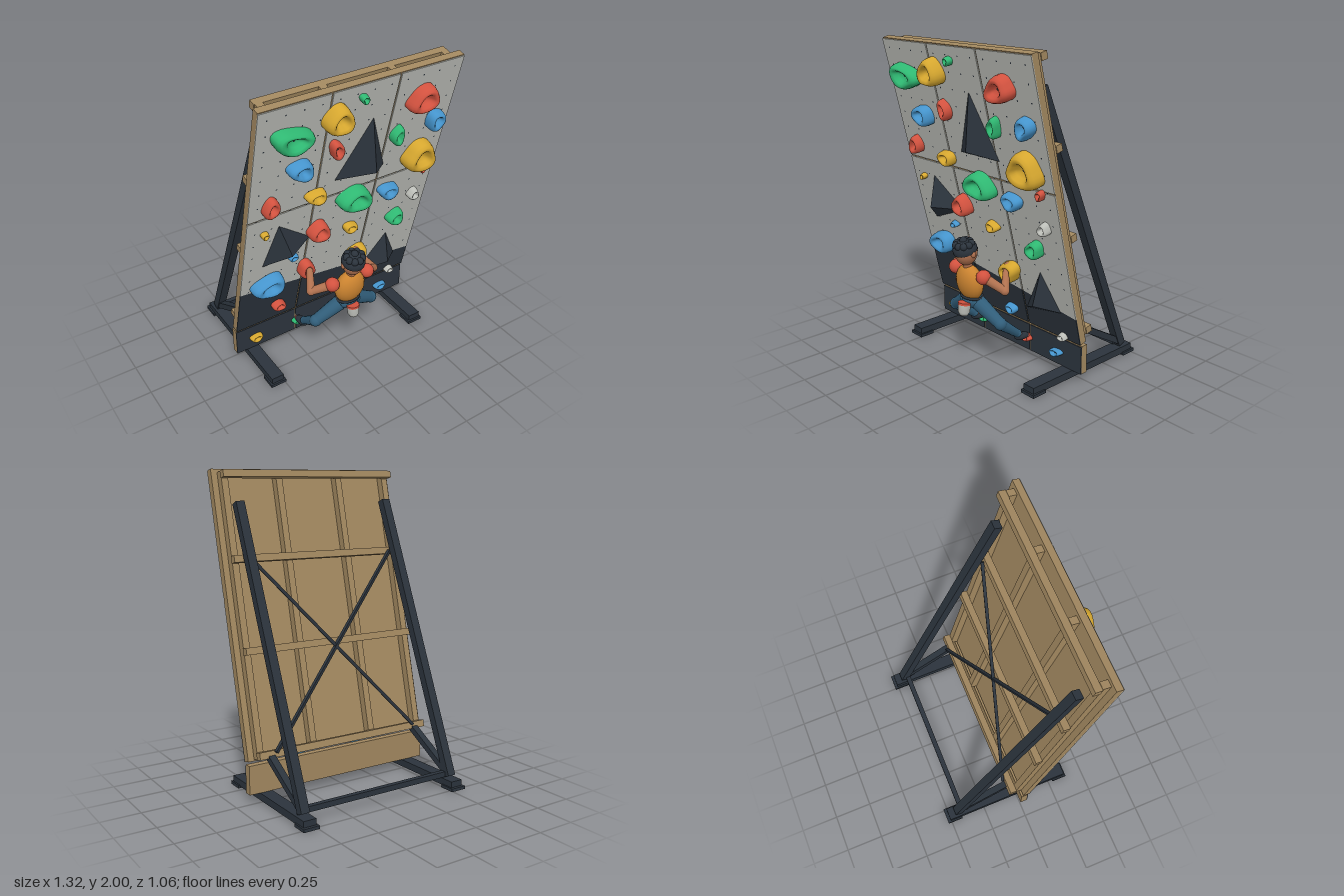
import * as THREE from 'three';
import { mergeGeometries, mergeVertices } from 'three/addons/utils/BufferGeometryUtils.js';

const mat = (name, color) => {
  const m = new THREE.MeshStandardMaterial({ color });
  m.name = name;
  return m;
};
const V = (x, y, z) => new THREE.Vector3(x, y, z);

export function createModel() {
  const M = {
    grey: mat('pale grey', 0xbcbeb8), dark: mat('charcoal', 0x2b333c), wood: mat('wood', 0xa1875f),
    green: mat('green', 0x2fb872), yellow: mat('yellow', 0xd6a72f), red: mat('red', 0xd2523f),
    blue: mat('blue', 0x4594cc), skin: mat('skin', 0xb0714f), shirt: mat('orange shirt', 0xcc8430),
    jeans: mat('denim', 0x315e7a),
  };
  const root = new THREE.Group();
  root.name = 'climbingWall';
  const group = (name, parent = root) => {
    const g = new THREE.Group();
    g.name = name;
    parent.add(g);
    return g;
  };
  const add = (parent, name, geo, m, x = 0, y = 0, z = 0) => {
    const mesh = new THREE.Mesh(geo, m);
    mesh.name = name;
    mesh.position.set(x, y, z);
    parent.add(mesh);
    return mesh;
  };
  // box given by its limits on each axis
  const box = (parent, name, m, x0, x1, y0, y1, z0, z1) =>
    add(parent, name, new THREE.BoxGeometry(x1 - x0, y1 - y0, z1 - z0), m, (x0 + x1) / 2, (y0 + y1) / 2, (z0 + z1) / 2);
  // square bar from a to b
  const bar = (parent, name, m, a, b, w, h = w) => {
    const mesh = add(parent, name, new THREE.BoxGeometry(w, h, a.distanceTo(b)), m, ...a.clone().lerp(b, 0.5).toArray());
    mesh.lookAt(b);
    return mesh;
  };
  const ball = (parent, name, m, x, y, z, rx, ry = rx, rz = rx) => {
    const mesh = add(parent, name, new THREE.SphereGeometry(1, 20, 14), m, x, y, z);
    mesh.scale.set(rx, ry, rz);
    return mesh;
  };
  // tapered limb with a round joint at its far end
  const limb = (parent, name, m, a, b, ra, rb) => {
    const mesh = add(parent, name, new THREE.CylinderGeometry(rb, ra, a.distanceTo(b), 14), m, ...a.clone().lerp(b, 0.5).toArray());
    mesh.quaternion.setFromUnitVectors(V(0, 1, 0), b.clone().sub(a).normalize());
    ball(parent, name + 'Joint', m, b.x, b.y, b.z, rb * 1.08);
  };

  // leaning panel: local y runs up the face, local z points out of it
  const wall = group('leaningWall');
  wall.position.set(0, 0.255, 0.06);
  wall.rotation.x = Math.atan(0.242);
  const H = 1.783, W = 0.66;
  box(wall, 'board', M.wood, -W, W, 0, H, -0.05, -0.006);
  const paintLine = (x) => 0.2725 - 0.14 * x;
  const plate = (name, m, pts) => {
    const shape = new THREE.Shape(pts.map((p) => new THREE.Vector2(...p)));
    add(wall, name, new THREE.ExtrudeGeometry(shape, { depth: 0.006, bevelEnabled: false }), m, 0, 0, -0.006);
  };
  const columns = [[-W, -0.225], [-0.215, 0.215], [0.225, W]];
  for (const [a, b] of columns) {
    plate('upperFace', M.grey, [[a, 1.0], [b, 1.0], [b, H - 0.006], [a, H - 0.006]]);
    plate('middleFace', M.grey, [[a, paintLine(a)], [b, paintLine(b)], [b, 0.99], [a, 0.99]]);
    plate('lowerFace', M.dark, [[a, 0], [b, 0], [b, paintLine(b)], [a, paintLine(a)]]);
  }
  // bolt holes
  const dots = [];
  for (let i = 0; i < 12; i++) {
    for (let j = 0; j < 17; j++) {
      dots.push(new THREE.CircleGeometry(0.0055, 6).translate(-0.605 + i * 0.11, 0.06 + j * 0.104, 0.001));
    }
  }
  add(wall, 'boltHoles', mergeGeometries(dots), M.dark);
  // studs and rails on the back
  for (const x of [-0.598, -0.222, 0.222, 0.598]) box(wall, 'stud', M.wood, x - 0.022, x + 0.022, 0.01, 1.76, -0.1, -0.05);
  for (const y of [0.03, 0.658, 1.216, 1.735]) box(wall, 'rail', M.wood, -0.625, 0.625, y - 0.022, y + 0.022, -0.145, -0.1);

  // upright kick board
  const kick = group('kickBoard');
  box(kick, 'kickBacking', M.wood, -W, W, 0.06, 0.243, 0, 0.044);
  for (const [a, b] of columns) box(kick, 'kickFace', M.dark, a, b, 0.06, 0.236, 0.044, 0.05);

  // three-sided volumes: base corners run counter-clockwise, then the apex
  const volume = (a, b, c, apex) => {
    const P = [a, b, c].map(([x, y]) => [x, (y - 0.255) / 0.972, 0]);
    const tip = [apex[0], (apex[1] - 0.255 + 0.235 * apex[2]) / 0.972, apex[2]];
    const pos = [0, 1, 2].flatMap((i) => [...P[i], ...P[(i + 1) % 3], ...tip]);
    const geo = new THREE.BufferGeometry();
    geo.setAttribute('position', new THREE.Float32BufferAttribute(pos, 3));
    geo.computeVertexNormals();
    add(wall, 'pyramidVolume', geo, M.dark);
  };
  volume([0.09, 1.73], [-0.1, 1.34], [0.245, 1.34], [0.1, 1.39, 0.115]);
  volume([-0.445, 1.12], [-0.525, 0.81], [-0.21, 0.93], [-0.4, 0.93, 0.115]);
  volume([0.42, 0.675], [0.235, 0.375], [0.54, 0.435], [0.41, 0.47, 0.1]);

  // dished hold with an uneven outline
  const hold = (parent, color, x, y, w, h, turn, seed) => {
    const depth = Math.min(0.095, 0.02 + 0.45 * Math.min(w, h));
    const profile = [[1, 0], [1, 0.4], [0.93, 0.75], [0.8, 0.95], [0.66, 1], [0.52, 0.9], [0.38, 0.62], [0.2, 0.48], [0.001, 0.45]];
    let geo = new THREE.LatheGeometry(profile.map((p) => new THREE.Vector2(...p)), 28).rotateX(Math.PI / 2);
    geo.deleteAttribute('normal');
    geo.deleteAttribute('uv');
    geo = mergeVertices(geo, 1e-4);
    const p = geo.attributes.position;
    for (let i = 0; i < p.count; i++) {
      const px = p.getX(i), py = p.getY(i), pz = p.getZ(i), t = Math.atan2(py, px);
      const k = 1 + 0.07 * Math.sin(2 * t + seed) + 0.09 * Math.sin(3 * t + 2 * seed);
      const lift = pz > 0.42 ? 0.12 * (1 - Math.hypot(px, py)) : 0;
      p.setXYZ(i, px * k * w / 2, (py * k + lift) * h / 2, pz * depth * (1 - 0.15 * py));
    }
    geo.computeVertexNormals();
    const g = group('hold', parent);
    g.position.set(x, y, 0);
    g.rotation.z = turn;
    add(g, 'holdBody', geo, M[color]);
    add(g, 'holdBolt', new THREE.CylinderGeometry(0.006, 0.006, 0.006, 8).rotateX(Math.PI / 2), M.dark, 0, 0.06 * h, depth * 0.46);
  };
  const wallHolds = [
    ['green', -0.455, 1.77, 0.25, 0.14, -0.3], ['yellow', -0.18, 1.82, 0.16, 0.17, 0], ['green', -0.02, 1.895, 0.05, 0.05, 0],
    ['red', 0.4, 1.78, 0.21, 0.14, 0.25], ['blue', 0.545, 1.585, 0.11, 0.13, 0], ['blue', -0.37, 1.535, 0.15, 0.12, -0.2],
    ['red', -0.145, 1.595, 0.08, 0.12, 0.2], ['green', 0.28, 1.55, 0.08, 0.12, 0], ['red', -0.53, 1.315, 0.09, 0.13, -0.2],
    ['yellow', -0.23, 1.28, 0.13, 0.09, 0], ['yellow', 0.49, 1.335, 0.24, 0.19, -0.3], ['red', 0.56, 1.2, 0.05, 0.06, 0],
    ['green', 0.055, 1.16, 0.22, 0.16, -0.2], ['blue', 0.315, 1.11, 0.14, 0.1, 0], ['grey', 0.545, 0.99, 0.08, 0.07, 0],
    ['yellow', -0.545, 1.095, 0.045, 0.04, 0], ['red', -0.17, 0.98, 0.13, 0.14, 0.2], ['yellow', 0.08, 0.89, 0.1, 0.065, 0],
    ['green', 0.435, 0.835, 0.12, 0.1, 0], ['blue', -0.32, 0.805, 0.06, 0.04, 0], ['blue', -0.48, 0.645, 0.21, 0.14, 0.2],
    ['red', -0.215, 0.665, 0.11, 0.12, 0], ['yellow', 0.17, 0.615, 0.14, 0.13, 0], ['red', -0.375, 0.385, 0.09, 0.065, -0.2],
    ['blue', 0.1, 0.32, 0.09, 0.06, 0], ['grey', 0.53, 0.268, 0.07, 0.04, 0],
  ];
  wallHolds.forEach(([c, x, y, w, h, r], i) => hold(wall, c, x, (y - 0.248) / 0.972, w, h, r, i * 1.7));
  const kickHolds = group('kickHolds');
  kickHolds.position.z = 0.05;
  [['yellow', -0.525, 0.145, 0.085], ['green', -0.21, 0.145, 0.07], ['red', 0.21, 0.15, 0.065], ['blue', 0.465, 0.14, 0.09]]
    .forEach(([c, x, y, w], i) => hold(kickHolds, c, x, y, w, 0.045, 0, i * 2.1));

  // supporting frame
  const frame = group('supportFrame');
  for (const s of [-1, 1]) {
    const x = s * 0.545;
    box(frame, 'footBar', M.dark, x - 0.042, x + 0.042, 0.012, 0.058, -0.505, 0.37);
    for (const [a, b] of [[-0.525, -0.42], [0.28, 0.382]]) {
      box(frame, 'footPad', M.dark, x - 0.053, x + 0.053, 0, 0.02, a, b);
    }
    bar(frame, 'rearStrut', M.dark, V(x, 0.07, -0.435), V(x, 1.8, 0.295), 0.057, 0.053);
    bar(frame, 'lowerBrace', M.dark, V(x, 0.3, -0.055), V(x, 0.09, -0.42), 0.045, 0.04);
    bar(frame, 'crossBrace', M.dark, V(-s * 0.52, 0.33, -0.085), V(s * 0.52, 1.47, 0.195), 0.02);
  }
  box(frame, 'rearCrossBar', M.dark, -0.53, 0.53, 0.065, 0.1, -0.425, -0.392);

  // climber facing the wall
  const man = group('climber');
  ball(man, 'torso', M.shirt, 0, 0.545, 0.355, 0.105, 0.118, 0.068).rotation.x = 0.12;
  ball(man, 'hips', M.jeans, 0, 0.42, 0.33, 0.085, 0.05, 0.06);
  const belt = add(man, 'belt', new THREE.TorusGeometry(0.078, 0.009, 8, 28).rotateX(Math.PI / 2), M.dark, 0, 0.45, 0.338);
  belt.scale.z = 0.75;
  limb(man, 'neck', M.skin, V(0, 0.63, 0.365), V(0, 0.69, 0.375), 0.03, 0.03);
  ball(man, 'head', M.skin, 0, 0.745, 0.38, 0.068, 0.082, 0.072);
  ball(man, 'nose', M.skin, 0, 0.735, 0.306, 0.012, 0.016, 0.016);
  for (const s of [-1, 1]) {
    ball(man, 'ear', M.skin, s * 0.07, 0.745, 0.38, 0.012, 0.02, 0.016);
    ball(man, 'eye', M.dark, s * 0.025, 0.76, 0.315, 0.008);
  }
  // curly hair
  const cap = add(man, 'hair', new THREE.SphereGeometry(1, 24, 10, 0, Math.PI * 2, 0, Math.PI * 0.55), M.dark, 0, 0.763, 0.388);
  cap.scale.set(0.075, 0.066, 0.077);
  cap.rotation.x = 0.3;
  for (let i = 0; i < 9; i++) {
    const t = (i / 9) * Math.PI * 2;
    ball(man, 'curl', M.dark, 0.05 * Math.cos(t), 0.802 - 0.01 * Math.sin(t), 0.4 + 0.045 * Math.sin(t), 0.023);
  }
  ball(man, 'curl', M.dark, 0, 0.822, 0.4, 0.024);
  // arms
  const arms = [
    [V(-0.13, 0.61, 0.355), V(-0.245, 0.565, 0.29), V(-0.2, 0.67, 0.205)],
    [V(0.13, 0.61, 0.355), V(0.24, 0.535, 0.28), V(0.165, 0.64, 0.2)],
  ];
  for (const [shoulder, elbow, hand] of arms) {
    ball(man, 'sleeve', M.red, shoulder.x, shoulder.y, shoulder.z, 0.046);
    limb(man, 'upperArm', M.skin, shoulder, elbow, 0.031, 0.026);
    limb(man, 'forearm', M.skin, elbow, hand, 0.027, 0.02);
    ball(man, 'hand', M.skin, hand.x, hand.y + 0.012, hand.z - 0.012, 0.027, 0.026, 0.022);
  }
  // legs and shoes
  for (const s of [-1, 1]) {
    const hip = V(s * 0.055, 0.415, 0.33), knee = V(s * 0.215, 0.315, 0.295), ankle = V(s * 0.21, 0.205, 0.15);
    limb(man, 'thigh', M.jeans, hip, knee, 0.05, 0.037);
    limb(man, 'shin', M.jeans, knee, ankle, 0.037, 0.025);
    ball(man, 'ankle', M.skin, ankle.x, 0.193, 0.137, 0.021);
    ball(man, 'shoe', M.dark, ankle.x, 0.178, 0.115, 0.03, 0.024, 0.06).rotation.x = -0.12;
    ball(man, 'shoeToe', M.red, ankle.x, 0.168, 0.075, 0.022, 0.014, 0.028);
  }
  // chalk bag hanging at the back
  const bag = group('chalkBag', man);
  bag.position.set(0, 0.335, 0.408);
  bag.rotation.x = -0.12;
  const bagProfile = [[0.001, 0], [0.025, 0.004], [0.037, 0.025], [0.04, 0.075]].map((p) => new THREE.Vector2(...p));
  add(bag, 'bagBody', new THREE.LatheGeometry(bagProfile, 20), M.grey);
  add(bag, 'bagRim', new THREE.CylinderGeometry(0.041, 0.041, 0.014, 20), M.red, 0, 0.08, 0);
  return root;
}
